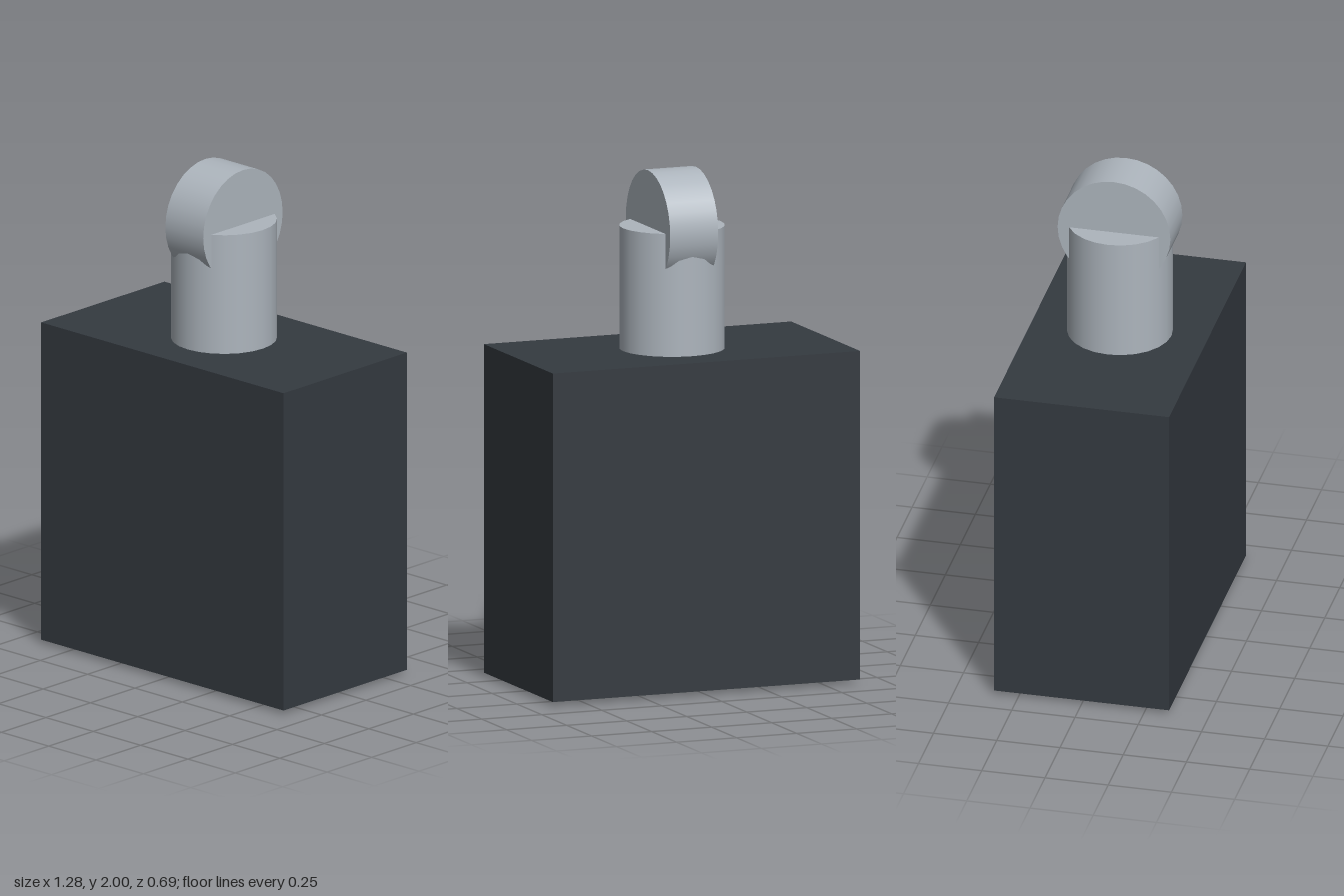
import * as THREE from 'three';

export function createModel() {
  const model = new THREE.Group();
  const darkCasing = new THREE.MeshStandardMaterial({ color: 0x343a40 });
  darkCasing.name = 'dark casing';
  const paleMetal = new THREE.MeshStandardMaterial({ color: 0xadb5bd });
  paleMetal.name = 'pale metal';

  const add = (name, geometry, material, y) => {
    const mesh = new THREE.Mesh(geometry, material);
    mesh.name = name;
    mesh.position.y = y;
    model.add(mesh);
    return mesh;
  };

  // Switch body with a thin plate under it
  add('body', new THREE.BoxGeometry(1.28, 1.284, 0.692), darkCasing, 0.658);
  add('basePlate', new THREE.BoxGeometry(0.77, 0.03, 0.42), paleMetal, 0.015);

  // Plunger on top of the body
  add('plunger', new THREE.CylinderGeometry(0.204, 0.204, 0.48, 24), paleMetal, 1.54);

  // Roller set into the plunger, its axle running left to right
  const roller = new THREE.CylinderGeometry(0.223, 0.223, 0.2, 32).rotateZ(Math.PI / 2);
  add('roller', roller, paleMetal, 1.777);

  return model;
}
